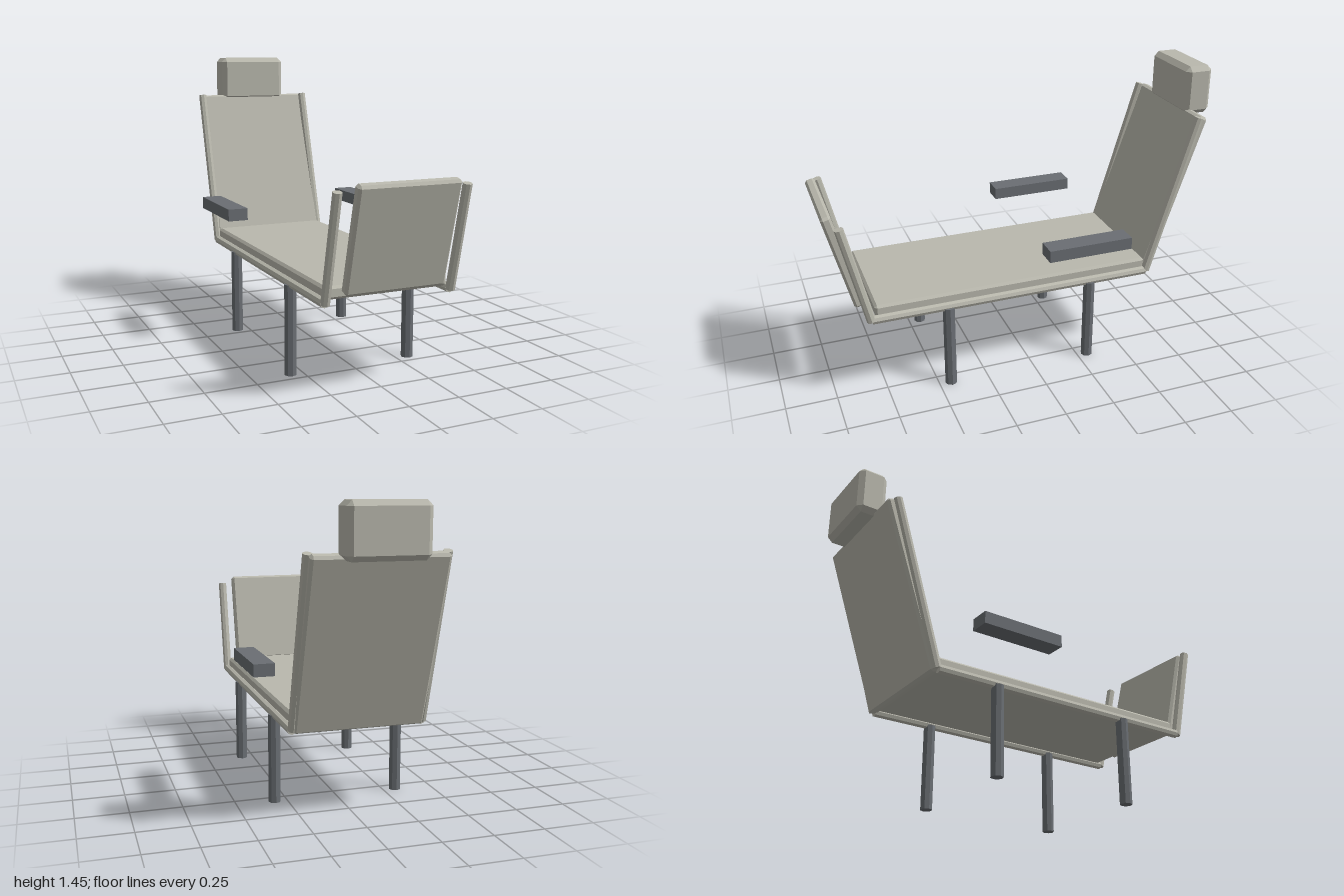
import * as THREE from 'three';
import { ConvexGeometry } from 'three/addons/geometries/ConvexGeometry.js';

const upholstery = new THREE.MeshStandardMaterial({ color: 0xb9b8ad, flatShading: true });
upholstery.name = 'warm grey upholstery';
const metal = new THREE.MeshStandardMaterial({ color: 0x6a6e73, flatShading: true });
metal.name = 'dark grey metal';

// Box with every edge chamfered by c
function chamferBox(w, h, d, c) {
  const points = [];
  for (const x of [-w / 2, w / 2]) for (const y of [-h / 2, h / 2]) for (const z of [-d / 2, d / 2]) {
    const sx = Math.sign(x) * c, sy = Math.sign(y) * c, sz = Math.sign(z) * c;
    points.push(
      new THREE.Vector3(x, y - sy, z - sz),
      new THREE.Vector3(x - sx, y, z - sz),
      new THREE.Vector3(x - sx, y - sy, z)
    );
  }
  return new ConvexGeometry(points);
}

export function createModel() {
  const model = new THREE.Group();
  model.name = 'recliningChair';

  const add = (name, geometry, material, x, y, z, tilt = 0) => {
    const mesh = new THREE.Mesh(geometry, material);
    mesh.name = name;
    mesh.position.set(x, y, z);
    mesh.rotation.x = tilt;
    model.add(mesh);
    return mesh;
  };

  // Eight-sided bar between two points in the side plane, given as [y, z]
  const bar = (name, material, x, [y0, z0], [y1, z1], r) => {
    const length = Math.hypot(y1 - y0, z1 - z0);
    add(name, new THREE.CylinderGeometry(r, r, length, 8), material,
      x, (y0 + y1) / 2, (z0 + z1) / 2, Math.atan2(z1 - z0, y1 - y0));
  };

  // Cushions
  add('seat', chamferBox(0.61, 0.06, 1.41, 0.012), upholstery, 0, 0.475, 0.09);
  add('backrest', chamferBox(0.62, 0.85, 0.05, 0.012), upholstery, 0, 0.833, -0.755, -0.326);
  add('footrest', chamferBox(0.49, 0.5, 0.05, 0.012), upholstery, 0, 0.722, 0.913, 0.253);
  add('headrest', chamferBox(0.37, 0.245, 0.144, 0.024), upholstery, 0, 1.332, -0.928);

  for (const [side, s] of [['left', 1], ['right', -1]]) {
    // Frame rails along the seat, backrest and footrest
    const x = s * 0.31;
    bar(side + 'SeatRail', upholstery, x, [0.44, -0.615], [0.44, 0.81], 0.022);
    bar(side + 'BackRail', upholstery, x, [0.44, -0.62], [1.24, -0.861], 0.022);
    bar(side + 'FootRail', upholstery, x, [0.435, 0.815], [0.932, 0.93], 0.022);

    // Legs
    bar(side + 'FrontLeg', metal, s * 0.312, [0, 0.44], [0.435, 0.44], 0.03);
    bar(side + 'BackLeg', metal, s * 0.312, [0, -0.302], [0.435, -0.302], 0.03);

    // Armrest pad
    add(side + 'Armrest', new THREE.BoxGeometry(0.1, 0.06, 0.43), metal, s * 0.395, 0.685, -0.245);
  }

  return model;
}
